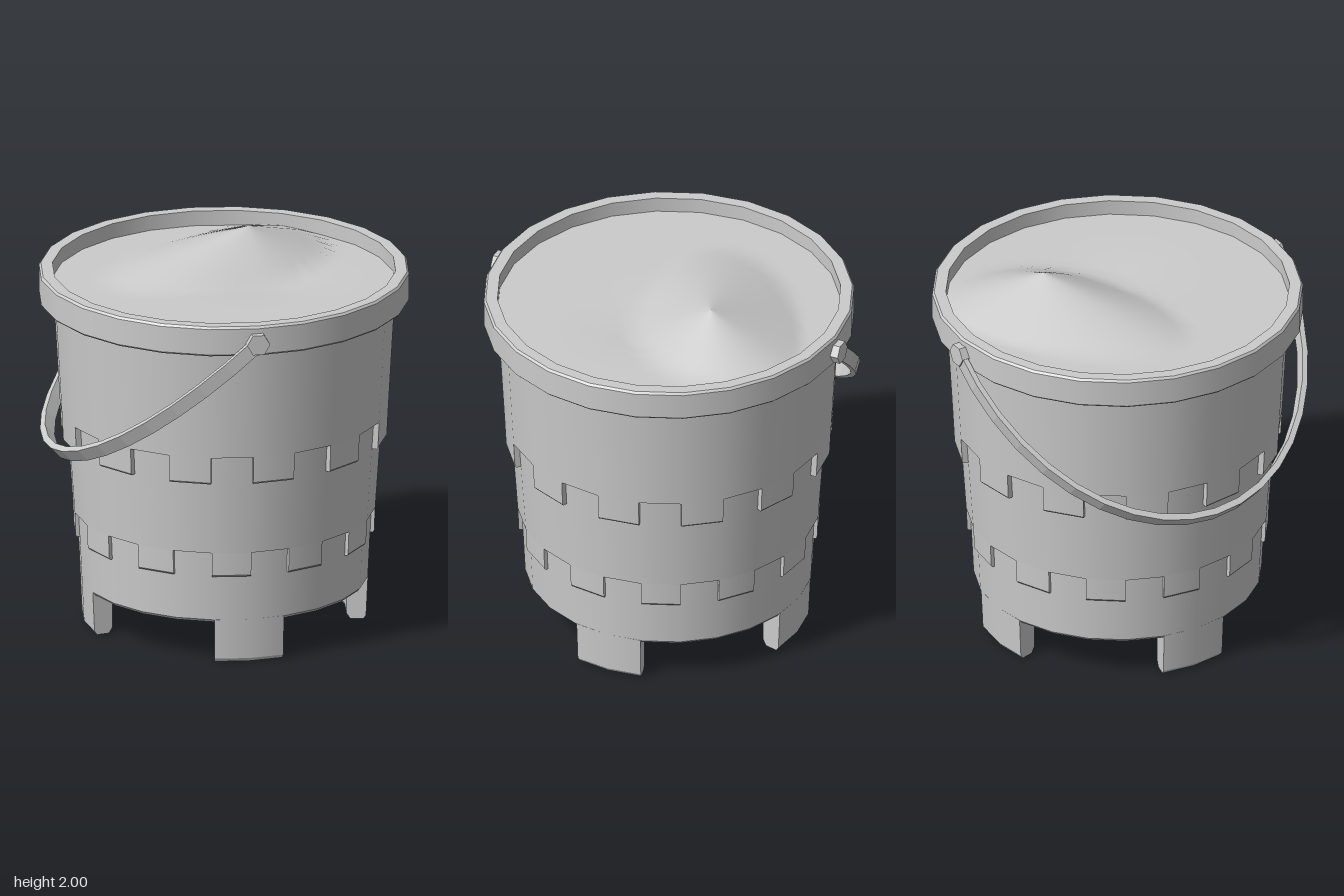
import * as THREE from 'three';
import { mergeGeometries } from 'three/addons/utils/BufferGeometryUtils.js';

const SIDES = 24;
const STEP = (Math.PI * 2) / SIDES;
const material = new THREE.MeshStandardMaterial({ color: 0xcccccc, side: THREE.DoubleSide });

// Lathe with a sharp edge at every profile point, smooth around the axis
function sharpLathe(profile, segments = SIDES, start = 0, length = Math.PI * 2) {
  const strips = [];
  for (let i = 0; i < profile.length - 1; i++) {
    const pair = [profile[i], profile[i + 1]].map(([r, y]) => new THREE.Vector2(r, y));
    strips.push(new THREE.LatheGeometry(pair, segments, start, length));
  }
  return mergeGeometries(strips);
}

// Solid curved block: a closed profile swept through an arc, with both ends capped
function arcBlock(profile, start, length, segments) {
  const shape = new THREE.Shape(profile.map(([r, y]) => new THREE.Vector2(r, y)));
  const cap = (angle) => new THREE.ShapeGeometry(shape).rotateY(angle - Math.PI / 2);
  const sides = sharpLathe([...profile, profile[0]], segments, start, length);
  return mergeGeometries([sides, cap(start), cap(start + length)]);
}

function addMesh(parent, name, geometry) {
  const mesh = new THREE.Mesh(geometry, material);
  mesh.name = name;
  parent.add(mesh);
  return mesh;
}

// Ring of twelve battlement teeth hanging below a step in the wall
function addTeeth(parent, name, profile, offset) {
  const ring = new THREE.Group();
  ring.name = name;
  for (let i = 0; i < SIDES; i += 2) {
    addMesh(ring, 'tooth', arcBlock(profile, (i + offset) * STEP, STEP, 1));
  }
  parent.add(ring);
}

// Heaped sand: rings spread from an off-centre peak to the round edge
function sandGeometry() {
  const peak = { x: 0.19, z: -0.33 }, base = 1.82, edge = 0.885, rings = 16, around = 48;
  const height = (x, z, t) => {
    const dx = x - peak.x;
    const dz = z - peak.z + 0.33 * dx;
    const d = Math.hypot(dx / (dx < 0 ? 0.79 : 0.43), dz / (dz > 0 ? 0.41 : 0.5));
    const dip = 0.03 * Math.exp(-((x - 0.25) ** 2 + (z - 0.08) ** 2) / 0.08);
    return base + 0.18 * Math.max(0, 1 - d) - dip * Math.min(1, 3 * t) * (1 - t);
  };
  const positions = [], index = [];
  for (let i = 0; i <= rings; i++) {
    const t = i / rings;
    for (let j = 0; j < around; j++) {
      const a = (j / around) * Math.PI * 2;
      // odd points sit on the straight sides of the polygonal edge
      const r = j % 2 ? edge * Math.cos(STEP / 2) : edge;
      const x = THREE.MathUtils.lerp(peak.x, r * Math.sin(a), t);
      const z = THREE.MathUtils.lerp(peak.z, r * Math.cos(a), t);
      positions.push(x, height(x, z, t), z);
      if (i < rings) {
        const p = i * around + j, q = i * around + ((j + 1) % around);
        if (i > 0) index.push(p, p + around, q);
        index.push(q, p + around, q + around);
      }
    }
  }
  const geometry = new THREE.BufferGeometry();
  geometry.setAttribute('position', new THREE.Float32BufferAttribute(positions, 3));
  geometry.setIndex(index);
  geometry.computeVertexNormals();
  return geometry;
}

// Flat strap bent into half an ellipse
function strapGeometry() {
  const width = 0.075, points = 20;
  const arc = (rx, ry) => Array.from({ length: points + 1 }, (_, i) => {
    const a = (i / points) * Math.PI;
    return new THREE.Vector2(rx * Math.cos(a), ry * Math.sin(a));
  });
  const shape = new THREE.Shape([...arc(0.985, 1.235), ...arc(0.957, 1.2).reverse()]);
  const geometry = new THREE.ExtrudeGeometry(shape, { depth: width, bevelEnabled: false });
  geometry.translate(0, 0, -width / 2);
  const across = new THREE.Vector3(0, 0, 1);
  const down = new THREE.Vector3(-0.745, -0.667, 0).normalize();
  const side = new THREE.Vector3().crossVectors(across, down);
  return geometry.applyMatrix4(new THREE.Matrix4().makeBasis(across, down, side));
}

export function createModel() {
  const bucket = new THREE.Group();
  bucket.name = 'sandcastleBucket';

  // Recessed floor and stepped, tapering wall
  addMesh(bucket, 'wall', sharpLathe([
    [0, 0.3], [0.63, 0.3], [0.63, 0.235], [0.645, 0.22], [0.73, 0.22], [0.742, 0.235],
    [0.76, 0.61], [0.78, 0.61], [0.817, 1.15], [0.847, 1.15], [0.88, 1.74],
  ]));

  // Thick rim with small bevels
  addMesh(bucket, 'rim', sharpLathe([
    [0.87, 1.74], [0.945, 1.74], [0.955, 1.75], [0.955, 1.888],
    [0.945, 1.9], [0.885, 1.9], [0.885, 1.81],
  ]));

  // Two rows of battlements, staggered by one step
  addTeeth(bucket, 'upperBattlements', [
    [0.79, 1.003], [0.833, 1.003], [0.84, 1.012], [0.847, 1.15], [0.79, 1.15],
  ], 0);
  addTeeth(bucket, 'lowerBattlements', [
    [0.73, 0.478], [0.768, 0.478], [0.775, 0.487], [0.78, 0.61], [0.73, 0.61],
  ], 1);

  // Four corner-tower feet
  const halfFoot = THREE.MathUtils.degToRad(14.2);
  for (let i = 0; i < 4; i++) {
    addMesh(bucket, 'foot', arcBlock([
      [0.65, 0], [0.718, 0], [0.732, 0.02], [0.742, 0.235], [0.63, 0.235], [0.63, 0.03],
    ], i * Math.PI / 2 - halfFoot, halfFoot * 2, 2));
  }

  addMesh(bucket, 'sand', sandGeometry());

  // Handle hanging down on one side, with a hexagonal pivot at each end
  const handle = new THREE.Group();
  handle.name = 'handle';
  handle.position.y = 1.81;
  addMesh(handle, 'strap', strapGeometry());
  for (const s of [-1, 1]) {
    const pivot = new THREE.CylinderGeometry(0.06, 0.06, 0.06, 6).toNonIndexed();
    pivot.computeVertexNormals();
    pivot.rotateY(Math.PI / 6).rotateX(Math.PI / 2);
    addMesh(handle, 'pivot', pivot).position.z = s * 0.96;
  }
  bucket.add(handle);

  return bucket;
}
